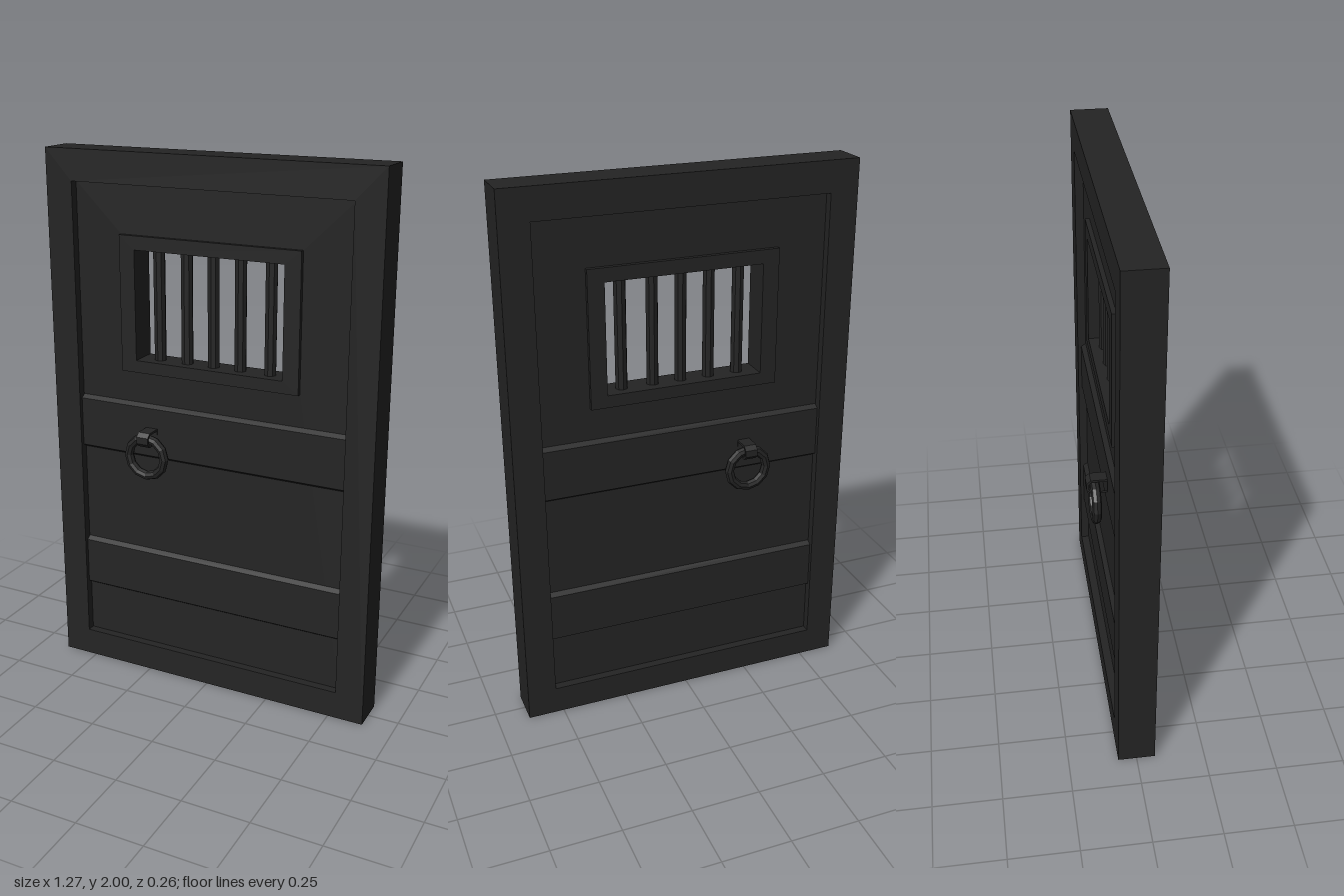
import * as THREE from 'three';

const iron = new THREE.MeshStandardMaterial({ color: 0x242424 });
iron.name = 'dark iron';
iron.flatShading = true;

function rect(path, x0, x1, y0, y1) {
  path.moveTo(x0, y0);
  path.lineTo(x1, y0);
  path.lineTo(x1, y1);
  path.lineTo(x0, y1);
  path.closePath();
  return path;
}

// Rectangular plate with a rectangular hole, centred on z = 0
function framePlate(outer, inner, depth) {
  const shape = rect(new THREE.Shape(), ...outer);
  shape.holes.push(rect(new THREE.Path(), ...inner));
  const g = new THREE.ExtrudeGeometry(shape, { depth, bevelEnabled: false });
  return g.translate(0, 0, -depth / 2);
}

// Extrude a (z, y) outline along x, centred on x = 0
function extrudeAlongX(points, hole, width) {
  const toVec = ([z, y]) => new THREE.Vector2(-z, y);
  const shape = new THREE.Shape(points.map(toVec));
  if (hole) shape.holes.push(new THREE.Path(hole.map(toVec)));
  const g = new THREE.ExtrudeGeometry(shape, { depth: width, bevelEnabled: false });
  return g.translate(0, 0, -width / 2).rotateY(Math.PI / 2);
}

export function createModel() {
  const door = new THREE.Group();
  door.name = 'barredDoor';
  const add = (parent, name, geometry, x = 0, y = 0, z = 0) => {
    const mesh = new THREE.Mesh(geometry, iron);
    mesh.name = name;
    mesh.position.set(x, y, z);
    parent.add(mesh);
    return mesh;
  };

  // Outer frame, recessed panel and window surround
  const opening = [-0.29, 0.285, 1.257, 1.66];
  const surround = [-0.35, 0.345, 1.212, 1.71];
  const inside = [-0.53, 0.527, 0.105, 1.887];
  add(door, 'outerFrame', framePlate([-0.634, 0.634, 0, 2], inside, 0.136));
  add(door, 'panel', framePlate(inside, surround, 0.074));
  add(door, 'windowFrame', framePlate(surround, opening, 0.106));

  // Window bars
  for (const x of [-0.218, -0.108, -0.003, 0.102, 0.217]) {
    add(door, 'windowBar', new THREE.CylinderGeometry(0.022, 0.022, 0.42, 8), x, 1.458, 0);
  }

  // Cross bands and ring handles, the same on both faces
  for (const side of [1, -1]) {
    const face = new THREE.Group();
    face.name = side > 0 ? 'frontFittings' : 'backFittings';
    face.rotation.y = side > 0 ? 0 : Math.PI;
    door.add(face);

    for (const [low, high] of [[0.885, 1.094], [0.308, 0.51]]) {
      const profile = [[0.03, low], [0.037, low], [0.055, low + 0.012],
        [0.055, high - 0.012], [0.037, high], [0.03, high]];
      add(face, 'crossBand', extrudeAlongX(profile, null, 1.057));
    }

    const x = -0.23 * side;
    add(face, 'handleRing', new THREE.TorusGeometry(0.073, 0.017, 8, 12), x, 0.909, 0.097);
    const loop = [[0.05, 0.952], [0.112, 0.952], [0.128, 0.967],
      [0.128, 0.992], [0.113, 1.007], [0.05, 1.007]];
    const hole = [[0.056, 0.96], [0.109, 0.96], [0.12, 0.97],
      [0.12, 0.989], [0.11, 0.999], [0.056, 0.999]];
    add(face, 'handleLoop', extrudeAlongX(loop, hole, 0.046), x);
  }
  return door;
}
